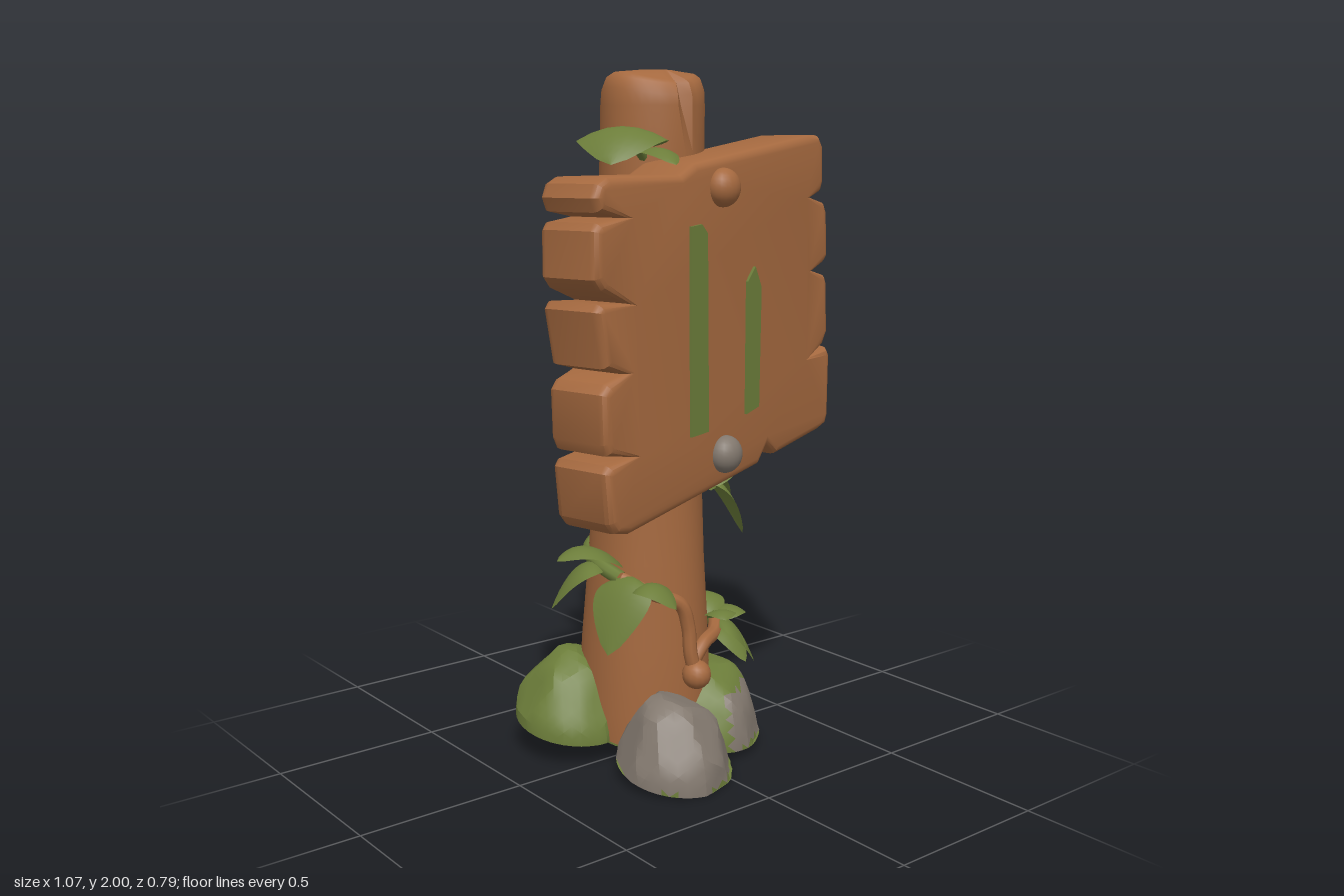
import * as THREE from 'three';
import { toCreasedNormals } from 'three/addons/utils/BufferGeometryUtils.js';

const mat = (name, color, side = THREE.FrontSide) => {
  const m = new THREE.MeshStandardMaterial({ color, side });
  m.name = name;
  return m;
};
const V = (a) => new THREE.Vector3(...a);
const ground = (z) => 0.07 - 0.18 * z; // sloping ground line

export function createModel() {
  const wood = mat('wood brown', 0xa5693f);
  const moss = mat('moss green', 0x6c7d3a, THREE.DoubleSide);
  const stone = mat('stone grey', 0x82786e);
  const model = new THREE.Group();
  model.name = 'mossySignpost';

  const add = (name, geo, material, parent = model) => {
    const m = new THREE.Mesh(geo, material);
    m.name = name;
    parent.add(m);
    return m;
  };

  // Post: tapered, leaning slightly, with a split in its top
  const profile = [[0, 0], [0.2, 0], [0.2, 0.15], [0.19, 0.35], [0.172, 0.6], [0.16, 0.85], [0.153, 1.3],
    [0.148, 1.78], [0.147, 1.9], [0.144, 1.95], [0.132, 1.982], [0.115, 1.993], [0.06, 1.998], [0, 2]];
  const post = new THREE.LatheGeometry(profile.map((p) => new THREE.Vector2(...p)), 36);
  const pp = post.attributes.position;
  for (let i = 0; i < pp.count; i++) {
    let x = pp.getX(i), y = pp.getY(i), z = pp.getZ(i);
    const r = Math.hypot(x, z), t = y / 2, angle = Math.atan2(x, z);
    const split = Math.max(0, 1 - Math.abs(angle) / 0.12) * THREE.MathUtils.smoothstep(y, 1.75, 1.98);
    const k = 1 - 0.22 * split * (r > 0.1 ? 1 : 0) + 0.012 * Math.sin(angle * 5 + y);
    x = x * k - 0.015 - 0.015 * t;
    z = z * k - 0.045 + 0.062 * t;
    if (y > 1.9) y -= 0.012 * (r > 0.1 ? 1 : 0) * (1 + Math.sin(angle * 2 + 2));
    pp.setXYZ(i, x, Math.max(y, ground(z)), z);
  }
  add('post', toCreasedNormals(post, 0.7), wood);

  // Board: one thick panel with notched plank ends, turned a little
  const board = new THREE.Group();
  board.name = 'signBoard';
  board.position.z = 0.185;
  board.rotation.y = 0.21;
  model.add(board);
  const flat = (pts) => new THREE.Shape(pts.map((p) => new THREE.Vector2(...p)));
  const outline = [[-0.535, 1.66], [-0.52, 1.695], [-0.485, 1.712], [-0.2, 1.715], [-0.14, 1.745], [0.4, 1.825],
    [0.45, 1.825], [0.472, 1.795], [0.478, 1.69], [0.465, 1.66], [0.415, 1.645], [0.485, 1.63], [0.5, 1.6],
    [0.508, 1.47], [0.49, 1.45], [0.43, 1.43], [0.495, 1.415], [0.508, 1.39], [0.515, 1.24], [0.49, 1.2],
    [0.425, 1.175], [0.515, 1.195], [0.53, 1.17], [0.528, 0.985], [0.515, 0.955], [0.48, 0.943], [0.25, 0.902],
    [0.205, 0.935], [0.165, 0.885], [-0.41, 0.79], [-0.46, 0.8], [-0.485, 0.83], [-0.5, 0.965], [-0.485, 0.985],
    [-0.4, 0.995], [-0.49, 1.01], [-0.505, 1.04], [-0.51, 1.17], [-0.49, 1.195], [-0.425, 1.215], [-0.5, 1.235],
    [-0.53, 1.38], [-0.515, 1.4], [-0.415, 1.395], [-0.51, 1.43], [-0.535, 1.46], [-0.535, 1.58], [-0.52, 1.6],
    [-0.43, 1.61], [-0.52, 1.625]].reverse();
  const panel = new THREE.ExtrudeGeometry(flat(outline), {
    depth: 0.15, bevelThickness: 0.025, bevelSize: 0.022, bevelOffset: -0.022, bevelSegments: 3,
  });
  panel.translate(0, 0, -0.075);
  add('boardPanel', toCreasedNormals(panel, 0.6), wood, board);

  // Plain upright strips of moss on the board's face
  const strips = [
    [[-0.165, 1.015], [-0.09, 1.02], [-0.1, 1.56], [-0.125, 1.585], [-0.17, 1.58]],
    [[0.085, 1.045], [0.145, 1.06], [0.15, 1.4], [0.12, 1.46], [0.085, 1.42]],
  ];
  strips.forEach((pts) => {
    const g = new THREE.ExtrudeGeometry(flat(pts), { depth: 0.008, bevelEnabled: false });
    add('mossStrip', g.translate(0, 0, 0.1), moss, board);
  });

  // Rounded bolt heads
  [[-0.03, 1.68, wood], [-0.01, 0.945, stone]].forEach(([x, y, m]) => {
    const bolt = add('bolt', new THREE.SphereGeometry(0.053, 20, 14), m, board);
    bolt.position.set(x, y, 0.105);
    bolt.scale.z = 0.85;
  });

  // Rocks: chiselled domes sitting on the sloping ground, partly mossy
  const rock = (name, cx, cz, r, h, seed, mossy) => {
    let s = seed;
    const rnd = () => (s = (s * 16807) % 2147483647) / 2147483647;
    const cuts = Array.from({ length: 15 }, () => ({
      n: V([rnd() * 2 - 1, rnd() * 1.1, rnd() * 2 - 1]).normalize(), d: 0.86 + rnd() * 0.08,
    }));
    const g = new THREE.IcosahedronGeometry(1, 6);
    const pos = g.attributes.position, p = new THREE.Vector3(), c = new THREE.Vector3();
    let start = 0, last = -1;
    for (let i = 0; i < pos.count; i += 3) {
      c.set(0, 0, 0);
      for (let j = i; j < i + 3; j++) {
        p.fromBufferAttribute(pos, j);
        c.addScaledVector(p, 1 / 3);
        let k = 1;
        for (const { n, d } of cuts) if (p.dot(n) > 0) k = Math.min(k, d / p.dot(n));
        const z = cz + p.z * k * r;
        pos.setXYZ(j, cx + p.x * k * r, ground(z) + Math.max(0, p.y) * k * h, z);
      }
      const id = c.y < 0 || mossy(c) ? 1 : 0;
      if (id !== last) {
        if (last >= 0) g.addGroup(start, i - start, last);
        start = i;
        last = id;
      }
    }
    g.addGroup(start, pos.count - start, last);
    add(name, toCreasedNormals(g, 0.35), [stone, moss]);
  };
  rock('frontRock', -0.105, 0.215, 0.172, 0.215, 11, () => false);
  rock('sideRock', 0.125, 0.085, 0.165, 0.225, 57, (c) => c.y > 0.72 || c.x + c.z * 0.3 < 0.05);
  rock('backLeftRock', 0.205, -0.235, 0.168, 0.225, 91, (c) => c.x + c.z * 0.2 < -0.05);
  rock('backRightRock', -0.215, -0.14, 0.172, 0.215, 203, () => true);

  // Moss pad under the post
  const pad = add('mossPad', new THREE.CylinderGeometry(0.2, 0.2, 0.006, 28), moss);
  pad.position.set(-0.015, 0.074, -0.04);
  pad.rotation.x = Math.atan(0.18);

  // Vines winding round the post
  const vine = (name, pts, r, m) =>
    add(name, new THREE.TubeGeometry(new THREE.CatmullRomCurve3(pts.map(V)), 40, r, 8), m);
  const ball = (at, r, m) => add('vineKnob', new THREE.SphereGeometry(r, 14, 10), m).position.set(...at);
  vine('upperVine', [[0.13, 0.81, 0.09], [0.155, 0.8, 0], [0.11, 0.74, -0.13], [0, 0.66, -0.2], [-0.13, 0.61, -0.16],
    [-0.205, 0.6, -0.02], [-0.19, 0.57, 0.07]], 0.022, moss);
  vine('frontVine', [[-0.19, 0.57, 0.07], [-0.13, 0.53, 0.14], [-0.05, 0.49, 0.17], [-0.025, 0.42, 0.175],
    [-0.02, 0.34, 0.18], [-0.005, 0.275, 0.185]], 0.021, wood);
  ball([-0.005, 0.275, 0.19], 0.043, wood);
  vine('lowerVine', [[0.17, 0.38, 0.07], [0.19, 0.36, -0.03], [0.17, 0.32, -0.14], [0.1, 0.28, -0.21]], 0.025, moss);
  vine('lowerFrontVine', [[-0.01, 0.3, 0.17], [0.05, 0.35, 0.155], [0.12, 0.36, 0.12], [0.17, 0.38, 0.07]], 0.022, wood);
  vine('backRoot', [[0.1, 0.28, -0.21], [0.03, 0.25, -0.245], [-0.06, 0.21, -0.24], [-0.13, 0.17, -0.2]], 0.028, wood);
  vine('topStem', [[-0.11, 1.74, 0.09], [-0.15, 1.78, 0.11], [-0.19, 1.81, 0.12]], 0.015, moss);

  // Leaves: arched blades between a base and a tip
  const leaf = (base, tip, width, arch) => {
    const a = V(base), b = V(tip);
    const mid = a.clone().lerp(b, 0.5).add(V([0, arch * 2, 0]));
    const curve = new THREE.QuadraticBezierCurve3(a, mid, b);
    const side = b.clone().sub(a).cross(V([0, 1, 0])).normalize();
    const g = new THREE.PlaneGeometry(2, 1, 6, 12);
    const pos = g.attributes.position;
    for (let i = 0; i < pos.count; i++) {
      const v = pos.getX(i), u = pos.getY(i) + 0.5;
      const w = width * 0.5 * Math.pow(Math.sin(Math.PI * Math.pow(u, 0.8)), 0.7) || 0;
      const p = curve.getPoint(u).addScaledVector(side, v * w);
      pos.setXYZ(i, p.x, p.y - v * v * w * 0.3, p.z);
    }
    g.computeVertexNormals();
    add('leaf', g, moss);
  };
  [
    // top of the board
    [[-0.15, 1.79, 0.07], [-0.33, 1.74, 0.22], 0.25, 0.075],
    [[-0.13, 1.77, 0.1], [-0.16, 1.74, 0.28], 0.1, 0.03],
    // left side, under the board
    [[0.13, 0.82, 0.06], [0.25, 0.64, 0.1], 0.16, 0.06],
    [[0.14, 0.82, 0], [0.28, 0.73, 0], 0.13, 0.05],
    [[0.1, 0.81, 0.12], [0.23, 0.85, 0.07], 0.09, 0.02],
    [[0.14, 0.83, -0.02], [0.2, 0.67, -0.21], 0.14, 0.06],
    [[0.12, 0.82, -0.08], [0.13, 0.81, -0.24], 0.1, 0.04],
    // right side, halfway down
    [[-0.17, 0.6, 0.05], [-0.37, 0.64, 0.01], 0.15, 0.05],
    [[-0.17, 0.58, 0.1], [-0.29, 0.38, 0.14], 0.19, 0.06],
    [[-0.18, 0.55, 0.12], [-0.13, 0.51, 0.25], 0.12, 0.04],
    [[-0.19, 0.59, 0], [-0.33, 0.47, -0.08], 0.15, 0.06],
    // left side, by the rocks
    [[0.15, 0.38, 0.09], [0.25, 0.25, 0.16], 0.15, 0.05],
    [[0.15, 0.39, 0.09], [0.1, 0.42, 0.2], 0.1, 0.03],
    [[0.16, 0.38, 0.08], [0.3, 0.36, 0.04], 0.12, 0.04],
    [[0.16, 0.39, 0.07], [0.22, 0.41, -0.07], 0.11, 0.04],
    [[0.15, 0.37, 0.1], [0.17, 0.28, 0.21], 0.1, 0.03],
  ].forEach((l) => leaf(...l));

  return model;
}
